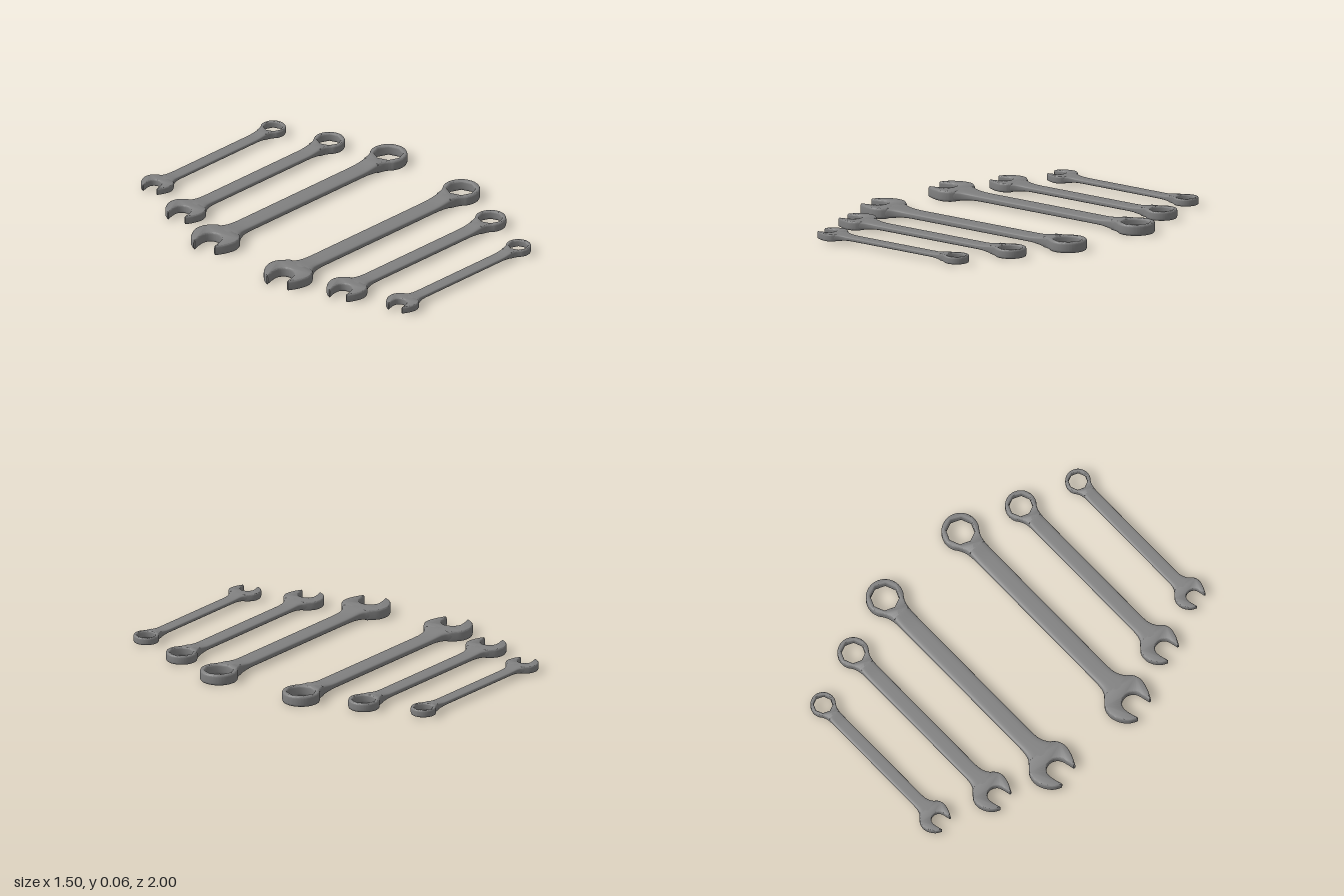
import * as THREE from 'three';
import { toCreasedNormals } from 'three/addons/utils/BufferGeometryUtils.js';

const HALF = 0.029; // half thickness of the heads

// Flat head with softened rims, lying in the xz plane (shape y becomes -z)
function slab(shape, curveSegments) {
  const bevel = 0.014;
  const g = new THREE.ExtrudeGeometry(shape, {
    depth: 2 * (HALF - bevel), curveSegments, bevelEnabled: true,
    bevelThickness: bevel, bevelSize: 0.007, bevelOffset: -0.007, bevelSegments: 3,
  });
  g.translate(0, 0, bevel - HALF);
  g.rotateX(-Math.PI / 2);
  return toCreasedNormals(g, 0.9);
}

const pts = (list) => list.map(([x, z]) => new THREE.Vector2(x, -z));

// Open end, mouth tilted about 15 degrees
function jawGeometry() {
  const s = new THREE.Shape();
  s.moveTo(-0.535, 0.073);
  s.splineThru(pts([[-0.553, -0.09], [-0.59, -0.119], [-0.638, -0.127],
    [-0.685, -0.113], [-0.728, -0.08], [-0.752, -0.036]]));
  s.lineTo(-0.747, 0.031);
  s.splineThru(pts([[-0.69, -0.047], [-0.65, -0.048], [-0.622, -0.027],
    [-0.612, 0.005], [-0.62, 0.037], [-0.648, 0.062], [-0.716, 0.08]]));
  s.lineTo(-0.718, -0.09);
  s.splineThru(pts([[-0.664, 0.115], [-0.606, 0.127], [-0.562, 0.115], [-0.535, 0.09]]));
  s.closePath();
  return slab(s, 5);
}

// Box end: round ring with a faceted hole and a flared neck
function ringGeometry() {
  const cx = 0.65, r = 0.1, a = (2 * Math.PI) / 3;
  const s = new THREE.Shape();
  s.absarc(cx, 0, r, -a, a, false);
  s.quadraticCurveTo(0.565, 0.056, 0.52, 0.052);
  s.lineTo(0.52, -0.052);
  s.quadraticCurveTo(0.565, -0.056, cx + r * Math.cos(a), -r * Math.sin(a));
  const hole = new THREE.Path();
  for (let i = 0; i < 8; i++) {
    const t = (-i * Math.PI) / 4;
    const x = cx + 0.076 * Math.cos(t), y = 0.076 * Math.sin(t);
    if (i) hole.lineTo(x, y); else hole.moveTo(x, y);
  }
  hole.closePath();
  s.holes.push(hole);
  return slab(s, 28);
}

// Handle: rounded-rectangle sections lofted along x, thickening into both heads
function handleGeometry() {
  const stations = [ // x, z min, z max, half thickness
    [-0.585, -0.1, 0.108, 0.0282], [-0.56, -0.092, 0.109, 0.0291],
    [-0.545, -0.083, 0.1, 0.0292], [-0.532, -0.073, 0.089, 0.0287],
    [-0.518, -0.063, 0.077, 0.0272], [-0.495, -0.056, 0.064, 0.024],
    [-0.465, -0.053, 0.055, 0.02], [-0.43, -0.052, 0.052, 0.0178],
    [-0.39, -0.052, 0.052, 0.017], [0, -0.052, 0.052, 0.017],
    [0.41, -0.052, 0.052, 0.017], [0.45, -0.052, 0.052, 0.0185],
    [0.485, -0.052, 0.052, 0.0235], [0.505, -0.0525, 0.0525, 0.0268],
    [0.518, -0.0535, 0.0535, 0.0286], [0.53, -0.055, 0.055, 0.0292],
    [0.545, -0.058, 0.058, 0.0291], [0.562, -0.06, 0.06, 0.0282],
  ];
  const N = 32, pos = [], idx = [];
  const soft = (v) => Math.sign(v) * Math.sqrt(Math.abs(v));
  stations.forEach(([x, z0, z1, h], i) => {
    for (let j = 0; j < N; j++) {
      const t = (j / N) * 2 * Math.PI;
      pos.push(x, h * soft(Math.sin(t)), (z0 + z1) / 2 + ((z1 - z0) / 2) * soft(Math.cos(t)));
      if (i === stations.length - 1) continue;
      const a = i * N + j, b = i * N + ((j + 1) % N);
      idx.push(a, a + N, b, b, a + N, b + N);
    }
  });
  const g = new THREE.BufferGeometry();
  g.setAttribute('position', new THREE.Float32BufferAttribute(pos, 3));
  g.setIndex(idx);
  g.computeVertexNormals();
  return g;
}

export function createModel() {
  const set = new THREE.Group();
  set.name = 'wrenchSet';
  const metal = new THREE.MeshStandardMaterial({ color: 0x808080 });
  const parts = { openJaw: jawGeometry(), handle: handleGeometry(), boxRing: ringGeometry() };

  // Three sizes, laid out twice with the largest in the middle
  const sizes = [['large', 1, 0.271], ['medium', 0.83, 0.601], ['small', 0.67, 0.914]];
  for (const side of [-1, 1]) {
    for (const [label, scale, z] of sizes) {
      const wrench = new THREE.Group();
      wrench.name = `${label}Wrench${side > 0 ? 'Front' : 'Back'}`;
      for (const [name, geometry] of Object.entries(parts)) {
        const mesh = new THREE.Mesh(geometry, metal);
        mesh.name = name;
        wrench.add(mesh);
      }
      wrench.scale.setScalar(scale);
      wrench.position.set(0, HALF, side * z);
      set.add(wrench);
    }
  }
  return set;
}
